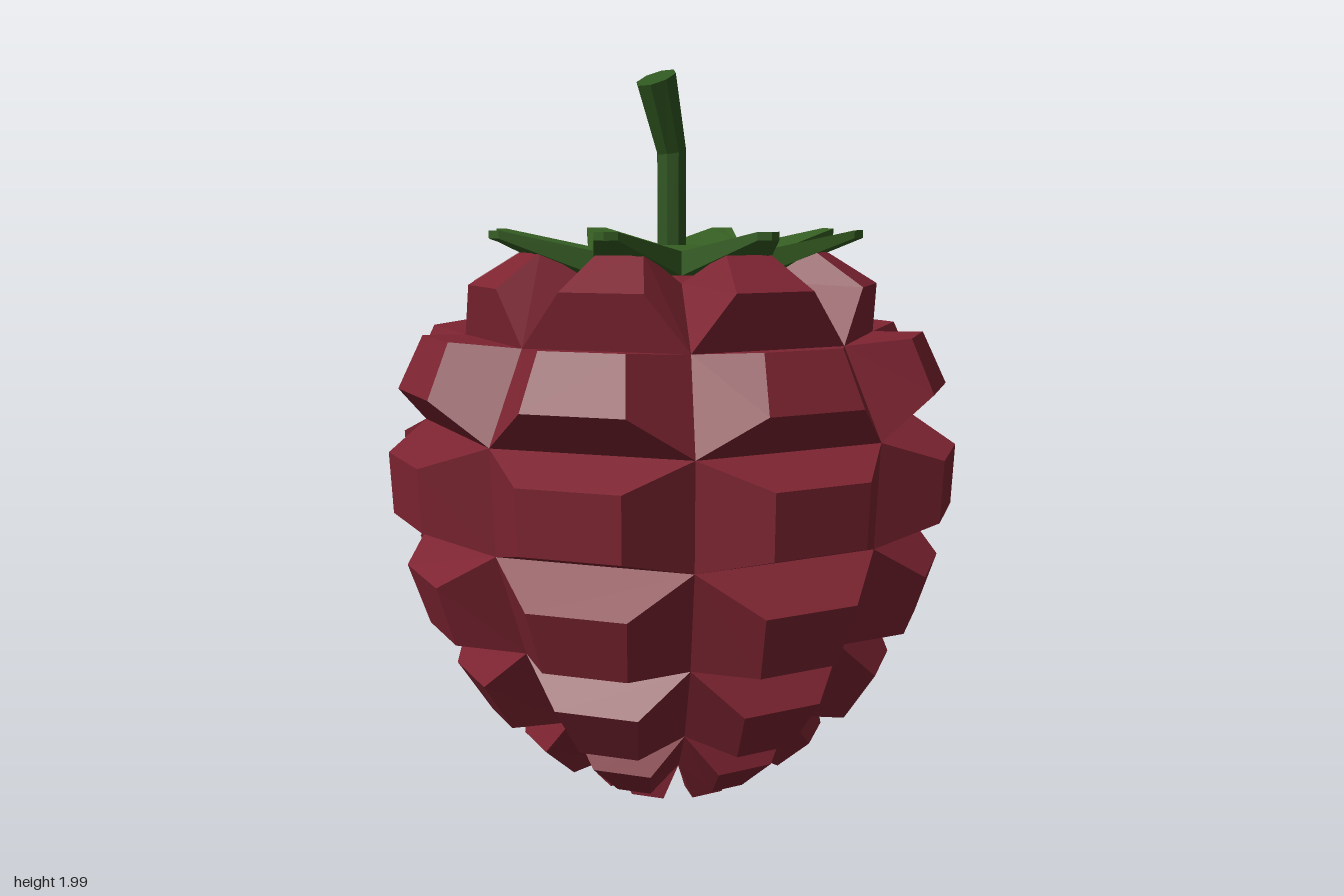
import * as THREE from 'three';

const SIDES = 8;
const STEP = (Math.PI * 2) / SIDES;

// Flat-shaded mesh from a list of triangle corners
function facetMesh(name, points, color) {
  const geometry = new THREE.BufferGeometry().setFromPoints(points);
  geometry.computeVertexNormals();
  const material = new THREE.MeshStandardMaterial({ color, flatShading: true });
  const mesh = new THREE.Mesh(geometry, material);
  mesh.name = name;
  return mesh;
}

// Fan of triangles over a convex polygon, counter-clockwise from outside
function fan(out, poly) {
  for (let i = 1; i < poly.length - 1; i++) out.push(poly[0], poly[i], poly[i + 1]);
}

function polar(r, y, angle) {
  return new THREE.Vector3(r * Math.sin(angle), y, r * Math.cos(angle));
}

// Raise a panel into a bump: a smaller copy pushed outward, joined by bevels
function bump(out, poly, across, wide, tall, height) {
  const centre = new THREE.Vector3();
  poly.forEach((p) => centre.addScaledVector(p, 1 / poly.length));
  const normal = poly[1].clone().sub(poly[0]).cross(poly[2].clone().sub(poly[0])).normalize();
  const cap = poly.map((p) => {
    const d = p.clone().sub(centre);
    const side = across.clone().multiplyScalar(d.dot(across));
    return centre.clone().addScaledVector(normal, height)
      .addScaledVector(side, wide).addScaledVector(d.sub(side), tall);
  });
  fan(out, cap);
  poly.forEach((p, i) => {
    const j = (i + 1) % poly.length;
    fan(out, [p, poly[j], cap[j], cap[i]]);
  });
}

// Berry: eight-sided body, every panel raised into a drupelet
function berry() {
  const rings = [[0, 0.1], [0.24, 0.15], [0.41, 0.3], [0.565, 0.53], [0.66, 0.8],
    [0.673, 1.07], [0.56, 1.3], [0.31, 1.45]];
  const heights = [0.105, 0.105, 0.125, 0.138, 0.143, 0.143, 0.13];
  const out = [];
  for (let s = 0; s < SIDES; s++) {
    const t0 = s * STEP, t1 = t0 + STEP;
    for (let i = 0; i < rings.length - 1; i++) {
      const [r0, y0] = rings[i], [r1, y1] = rings[i + 1];
      const c = polar(r1, y1, t1), d = polar(r1, y1, t0);
      const lower = r0 ? [polar(r0, y0, t0), polar(r0, y0, t1)] : [polar(0, y0, 0)];
      bump(out, [...lower, c, d], c.clone().sub(d).normalize(), 0.5, 0.6, heights[i]);
    }
    // closing cap under the leaves
    const [r, y] = rings[rings.length - 1];
    out.push(polar(r, y, t0), polar(r, y, t1), polar(0, 1.5, 0));
  }
  return facetMesh('berry', out, 0x7d2431);
}

// Leaf crown: eight blunt upturned points around a shallow dish
function leafCrown() {
  const out = [];
  const top = polar(0, 1.54, 0), bottom = polar(0, 1.46, 0);
  for (let s = 0; s < SIDES; s++) {
    const t0 = s * STEP, mid = t0 + STEP / 2;
    const outline = [[0.31, t0], [0.505, mid - 0.06], [0.52, mid], [0.505, mid + 0.06], [0.31, t0 + STEP]];
    const upper = outline.map(([r, a]) => polar(r, r > 0.4 ? 1.58 : 1.53, a));
    const under = outline.map(([r, a]) => polar(r, r > 0.4 ? 1.56 : 1.47, a));
    fan(out, [top, upper[0], upper[4]]);
    fan(out, upper);
    fan(out, [bottom, under[4], under[0]]);
    fan(out, [...under].reverse());
    for (let i = 0; i < 4; i++) fan(out, [under[i], under[i + 1], upper[i + 1], upper[i]]);
  }
  return facetMesh('leafCrown', out, 0x365f23);
}

// Stem: straight, then bent sideways and widening to a cut end
function stem() {
  const sections = [ // x, y, radius, tilt
    [0, 1.5, 0.04, 0], [0, 1.785, 0.041, 0.2], [-0.063, 1.973, 0.056, 0.46],
  ];
  const loops = sections.map(([x, y, r, tilt]) =>
    Array.from({ length: SIDES }, (_, s) => polar(r, 0, (s + 0.5) * STEP)
      .applyAxisAngle(new THREE.Vector3(0, 0, 1), tilt).add(new THREE.Vector3(x, y, 0))));
  const out = [];
  for (let i = 0; i < 2; i++) {
    for (let s = 0; s < SIDES; s++) {
      const n = (s + 1) % SIDES;
      fan(out, [loops[i][s], loops[i][n], loops[i + 1][n], loops[i + 1][s]]);
    }
  }
  fan(out, loops[2]);
  return facetMesh('stem', out, 0x2f5520);
}

export function createModel() {
  const model = new THREE.Group();
  model.name = 'raspberry';
  model.add(berry(), leafCrown(), stem());
  return model;
}
